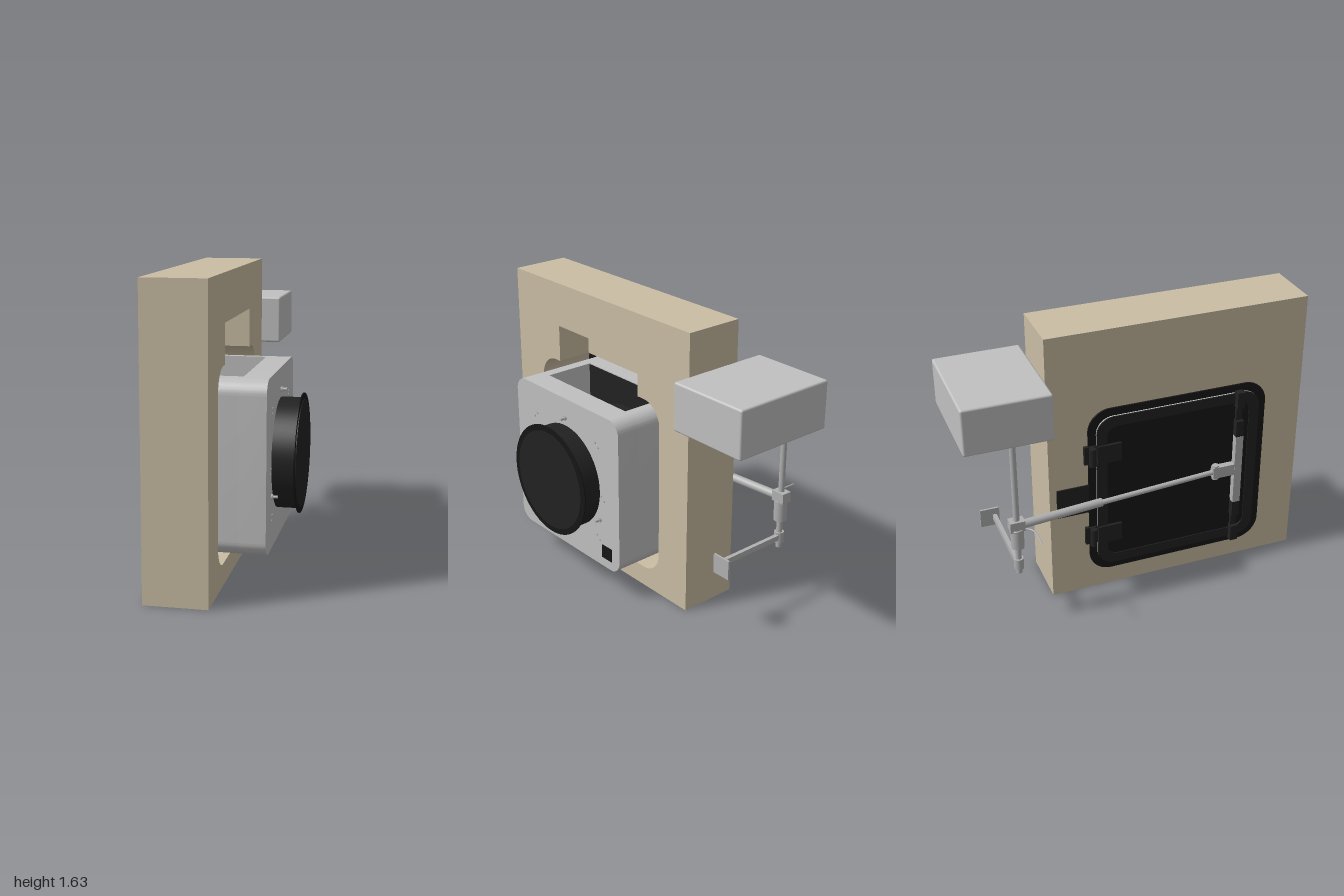
import * as THREE from 'three';
import { RoundedBoxGeometry } from 'three/addons/geometries/RoundedBoxGeometry.js';
import { toCreasedNormals } from 'three/addons/utils/BufferGeometryUtils.js';

const material = (name, color) => {
  const m = new THREE.MeshStandardMaterial({ color });
  m.name = name;
  return m;
};

// Outline in the wall plane; u runs along -z, v is up
function roundedRect(path, u0, u1, v0, v1, r, slot) {
  path.moveTo(u0 + r, v0);
  path.lineTo(u1 - r, v0);
  path.absarc(u1 - r, v0 + r, r, -Math.PI / 2, 0);
  path.lineTo(u1, v1 - r);
  path.absarc(u1 - r, v1 - r, r, 0, Math.PI / 2);
  if (slot) {
    // step up or down along the top edge
    path.lineTo(slot.u1, v1);
    path.lineTo(slot.u1, slot.v);
    path.lineTo(slot.u0, slot.v);
    path.lineTo(slot.u0, v1);
  }
  path.lineTo(u0 + r, v1);
  path.absarc(u0 + r, v1 - r, r, Math.PI / 2, Math.PI);
  path.lineTo(u0, v0 + r);
  path.absarc(u0 + r, v0 + r, r, Math.PI, Math.PI * 1.5);
  return path;
}

export function createModel() {
  const model = new THREE.Group();
  const tan = material('wall tan', 0xcabda4);
  const grey = material('light grey', 0xc0c0c0);
  const steel = material('steel grey', 0xb0b0b0);
  const black = material('black', 0x222222);
  const trim = material('trim black', 0x161616);

  const add = (name, geometry, mat) => {
    const mesh = new THREE.Mesh(geometry, mat);
    mesh.name = name;
    model.add(mesh);
    return mesh;
  };
  const slab = (name, shape, x0, x1, mat) => {
    let g = new THREE.ExtrudeGeometry(shape, { depth: x1 - x0, bevelEnabled: false, curveSegments: 10 });
    g = toCreasedNormals(g, 0.5);
    g.rotateY(Math.PI / 2);
    g.translate(x0, 0, 0);
    return add(name, g, mat);
  };
  const box = (name, x0, x1, y0, y1, z0, z1, mat) => {
    const g = new THREE.BoxGeometry(x1 - x0, y1 - y0, z1 - z0);
    return add(name, g.translate((x0 + x1) / 2, (y0 + y1) / 2, (z0 + z1) / 2), mat);
  };
  const rod = (name, a, b, r, mat, sides = 20) => {
    const p = new THREE.Vector3(...a), q = new THREE.Vector3(...b);
    const d = q.clone().sub(p);
    const mesh = add(name, new THREE.CylinderGeometry(r, r, d.length(), sides), mat);
    mesh.position.copy(p).add(q).multiplyScalar(0.5);
    mesh.quaternion.setFromUnitVectors(new THREE.Vector3(0, 1, 0), d.normalize());
    return mesh;
  };

  // Wall in two layers: a through hole, plus a shallow notch above it
  const wallLayer = (name, x0, x1, slot) => {
    const s = new THREE.Shape();
    s.moveTo(-1, 0);
    s.lineTo(0.51, 0);
    s.lineTo(0.51, 1.635);
    s.lineTo(-1, 1.635);
    s.closePath();
    s.holes.push(roundedRect(new THREE.Path(), -0.77, 0.28, 0.12, 1.165, 0.13, slot));
    slab(name, s, x0, x1, tan);
  };
  wallLayer('wallBack', -0.185, -0.055);
  wallLayer('wallFront', -0.055, 0.155, { u0: -0.6, u1: 0.1, v: 1.38 });

  // Housing with an open duct in its top
  const housing = slot => roundedRect(new THREE.Shape(), -0.705, 0.22, 0.183, 1.106, 0.08, slot);
  slab('housingRear', housing(), -0.185, -0.05, grey);
  slab('housingDuct', housing({ u0: -0.58, u1: 0.11, v: 0.22 }), -0.05, 0.25, grey);
  slab('housingFace', housing(), 0.25, 0.39, grey);
  box('ductBack', -0.05, -0.044, 0.22, 1.1, -0.11, 0.58, black);

  // Round drum, passing from the duct through the face
  const cy = 0.643, cz = 0.245;
  rod('innerDrum', [-0.04, cy, cz], [0.25, cy, cz], 0.3, black, 64);
  rod('drum', [0.39, cy, cz], [0.51, cy, cz], 0.3, black, 64);
  rod('drumCover', [0.507, cy, cz], [0.513, cy, cz], 0.325, trim, 64);
  rod('drumDisc', [0.513, cy, cz], [0.517, cy, cz], 0.29, black, 64);

  // Studs and small fixings around the drum
  for (const a of [90, 210, 330]) {
    const t = a * Math.PI / 180;
    const y = cy + 0.345 * Math.sin(t), z = cz + 0.345 * Math.cos(t);
    rod('stud', [0.39, y, z], [0.425, y, z], 0.008, steel, 12);
    rod('studNut', [0.39, y, z], [0.4, y, z], 0.014, steel, 6);
  }
  for (const [y, dz] of [[0.92, 0.28], [0.61, 0.325], [0.35, 0.28]]) {
    for (const s of [-1, 1]) for (const k of [-0.012, 0.012]) {
      const z = cz + s * (dz + k);
      rod('fixing', [0.388, y - k, z], [0.393, y - k, z], 0.007, steel, 8);
    }
  }
  box('plainBadge', 0.39, 0.394, 0.24, 0.32, -0.155, -0.07, trim);

  // Flange and flap on the far side of the wall
  slab('flange', roundedRect(new THREE.Shape(), -0.775, 0.285, 0.115, 1.17, 0.13), -0.195, -0.183, trim);
  slab('flapCore', roundedRect(new THREE.Shape(), -0.73, 0.24, 0.16, 1.125, 0.1), -0.203, -0.195, grey);
  const rim = roundedRect(new THREE.Shape(), -0.73, 0.24, 0.16, 1.125, 0.1);
  rim.holes.push(roundedRect(new THREE.Path(), -0.67, 0.18, 0.22, 1.065, 0.06));
  slab('flapRim', rim, -0.211, -0.203, black);
  slab('flapSkin', roundedRect(new THREE.Shape(), -0.67, 0.18, 0.22, 1.065, 0.06), -0.206, -0.203, trim);
  box('sideTab', -0.193, -0.185, 0.53, 0.71, -0.47, -0.28, black);

  // Hinges on one edge, slide rail and blocks on the other
  for (const y of [0.375, 0.905]) {
    box('hingeLeaf', -0.222, -0.2, y - 0.055, y + 0.055, -0.24, -0.1, black);
    rod('hingePin', [-0.225, y - 0.055, -0.27], [-0.225, y + 0.055, -0.27], 0.02, black);
    box('hingePlate', -0.205, -0.185, y - 0.055, y + 0.055, -0.31, -0.24, black);
    box('railClamp', -0.245, -0.203, y - 0.055, y + 0.055, 0.58, 0.625, black);
  }
  for (const y of [0.195, 1.09]) box('railBlock', -0.245, -0.203, y - 0.05, y + 0.05, 0.58, 0.625, black);
  box('railStrip', -0.225, -0.205, 0.15, 1.14, 0.585, 0.62, black);
  box('slideBar', -0.247, -0.208, 0.42, 0.86, 0.58, 0.626, steel);
  box('slideBracket', -0.245, -0.205, 0.61, 0.68, 0.45, 0.58, steel);
  rod('slidePivot', [-0.225, 0.6, 0.47], [-0.225, 0.69, 0.47], 0.02, steel);

  // Telescopic push arm
  rod('armRod', [-0.222, cy, 0.47], [-0.285, cy, -0.26], 0.015, steel);
  rod('armSleeve', [-0.28, cy, -0.24], [-0.328, cy, -0.74], 0.024, steel);

  // Upright shaft with its collars
  const upright = (name, y0, y1, r) => rod(name, [-0.328, y0, -0.74], [-0.328, y1, -0.74], r, steel);
  upright('shaft', 0.335, 1.14, 0.017);
  upright('shaftSleeve', 0.505, 0.625, 0.036);
  upright('lowerCollar', 0.365, 0.43, 0.027);
  box('armClamp', -0.358, -0.298, 0.62, 0.68, -0.782, -0.7, steel);

  // Support bracket
  box('supportArm', -0.328, 0.14, 0.385, 0.417, -0.758, -0.735, steel);
  box('supportPlate', 0.138, 0.15, 0.345, 0.457, -0.83, -0.718, steel);

  // Bent wire lever
  const wire = new THREE.CatmullRomCurve3([[-0.34, -0.78], [-0.365, -0.75], [-0.35, -0.7],
    [-0.37, -0.67], [-0.41, -0.657], [-0.52, -0.657]].map(([x, z]) => new THREE.Vector3(x, 0.625, z)));
  add('wireLever', new THREE.TubeGeometry(wire, 30, 0.005, 8), steel);

  // Drive box
  const drive = add('driveBox', new RoundedBoxGeometry(0.612, 0.27, 0.485, 3, 0.012), grey);
  drive.position.set(-0.04, 1.27, -0.7575);

  return model;
}
